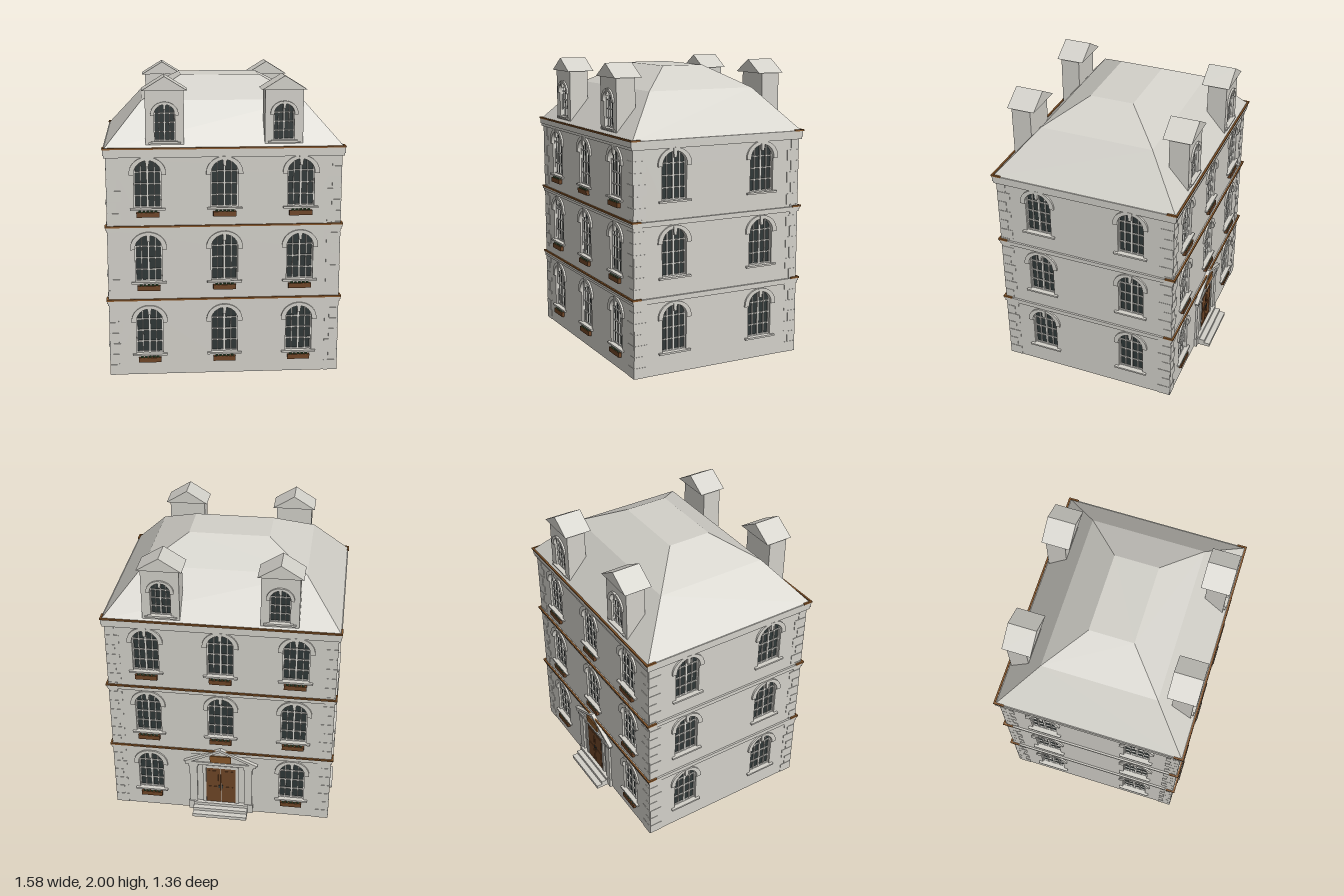
import * as THREE from 'three';
import { ConvexGeometry } from 'three/addons/geometries/ConvexGeometry.js';

const material = (name, color) => {
  const m = new THREE.MeshStandardMaterial({ color });
  m.name = name;
  return m;
};

export function createModel() {
  const stone = material('stone', 0xd2d0c9);
  const paint = material('window paint', 0xd9d8d2);
  const glass = material('dark glass', 0x2e3636);
  const wood = material('box wood', 0x6e4526);
  const gutter = material('gutter brown', 0x865629);
  const leaf = material('leaf green', 0x2f4a2a);

  const group = (name, parent, x = 0, y = 0, z = 0, turn = 0) => {
    const g = new THREE.Group();
    g.name = name;
    g.position.set(x, y, z);
    g.rotation.y = turn;
    parent.add(g);
    return g;
  };
  const add = (name, parent, geometry, mat, x = 0, y = 0, z = 0) => {
    const m = new THREE.Mesh(geometry, mat);
    m.name = name;
    m.position.set(x, y, z);
    parent.add(m);
    return m;
  };
  // box given by its lower and upper limits
  const box = (name, parent, mat, x0, x1, y0, y1, z0, z1) =>
    add(name, parent, new THREE.BoxGeometry(x1 - x0, y1 - y0, z1 - z0), mat,
      (x0 + x1) / 2, (y0 + y1) / 2, (z0 + z1) / 2);
  const extrude = (shape, depth) =>
    new THREE.ExtrudeGeometry(shape, { depth, bevelEnabled: false, curveSegments: 14 });
  const polygon = (points) => new THREE.Shape(points.map(([x, y]) => new THREE.Vector2(x, y)));

  // arched window opening
  const HALF = 0.088, SPRING = 0.23, RISE = 0.085, REVEAL = 0.03;
  const archPath = (Type, cx, y0, s) => {
    const p = new Type();
    p.moveTo(cx - HALF * s, y0);
    p.lineTo(cx + HALF * s, y0);
    p.lineTo(cx + HALF * s, y0 + SPRING * s);
    p.absellipse(cx, y0 + SPRING * s, HALF * s, RISE * s, 0, Math.PI, false);
    p.closePath();
    return p;
  };
  const wallPanel = (name, parent, halfWidth, y0, y1, openings, s = 1) => {
    const shape = polygon([[-halfWidth, y0], [halfWidth, y0], [halfWidth, y1], [-halfWidth, y1]]);
    for (const [x, y] of openings) shape.holes.push(archPath(THREE.Path, x, y, s));
    return add(name, parent, extrude(shape, REVEAL), stone, 0, 0, -REVEAL);
  };

  // window with glazing bars, arch moulding, keystone and sill
  const addWindow = (parent, x, y, s = 1) => {
    const w = group('window', parent, x, y, 0);
    w.scale.set(s, s, 1);
    add('glass', w, new THREE.ShapeGeometry(archPath(THREE.Shape, 0, 0, 1), 14), glass, 0, 0, -0.025);
    for (const bx of [-0.084, -0.045, 0, 0.045, 0.084]) {
      const top = SPRING + RISE * Math.sqrt(1 - (bx / HALF) ** 2);
      const t = bx === 0 ? 0.007 : 0.004;
      box('glazingBar', w, paint, bx - t, bx + t, 0, top, -0.024, -0.014);
    }
    for (const by of [0.005, 0.08, 0.158, 0.236]) {
      box('glazingBar', w, paint, -HALF, HALF, by - 0.004, by + 0.004, -0.024, -0.015);
    }
    const arch = new THREE.Shape();
    arch.moveTo(0.12, SPRING - 0.01);
    arch.lineTo(0.12, SPRING);
    arch.absellipse(0, SPRING, 0.12, 0.108, 0, Math.PI, false);
    arch.lineTo(-0.12, SPRING - 0.01);
    arch.lineTo(-HALF, SPRING - 0.01);
    arch.lineTo(-HALF, SPRING);
    arch.absellipse(0, SPRING, HALF, RISE, Math.PI, 0, true);
    arch.lineTo(HALF, SPRING - 0.01);
    arch.closePath();
    add('archMoulding', w, extrude(arch, 0.012), stone);
    add('keystone', w, extrude(polygon([[-0.009, 0.275], [0.009, 0.275], [0.015, 0.339], [-0.015, 0.339]]), 0.017), stone);
    box('sill', w, stone, -0.115, 0.115, -0.012, 0, -0.02, 0.018);
  };

  // planter with a row of small bushes
  const bush = new THREE.IcosahedronGeometry(0.011, 0);
  const addFlowerBox = (parent, x, y) => {
    const b = group('flowerBox', parent, x, y, 0);
    box('planter', b, wood, -0.075, 0.075, -0.058, -0.026, 0, 0.022);
    for (let i = -2; i <= 2; i++) add('bush', b, bush, leaf, i * 0.026, -0.023 + (i % 2) * 0.002, 0.011);
  };

  const house = new THREE.Group();
  house.name = 'townHouse';
  const FRONT = 0.655, BACK = -0.578, SIDE = 0.765, TOP = 1.52, MID = (FRONT + BACK) / 2;
  const floors = [0.148, 0.65, 1.148];
  box('core', house, stone, -SIDE + REVEAL, SIDE - REVEAL, 0, TOP, BACK + REVEAL, FRONT - REVEAL);

  // four facades
  const facades = [
    ['frontFacade', 0, FRONT, 0, SIDE, [-0.5, 0, 0.5]],
    ['backFacade', 0, BACK, Math.PI, SIDE, [-0.5, 0, 0.5]],
    ['rightFacade', SIDE, MID, Math.PI / 2, (FRONT - BACK) / 2 - REVEAL, [-0.326, 0.326]],
    ['leftFacade', -SIDE, MID, -Math.PI / 2, (FRONT - BACK) / 2 - REVEAL, [-0.326, 0.326]],
  ];
  let backFacade;
  for (const [name, x, z, turn, half, columns] of facades) {
    const f = group(name, house, x, 0, z, turn);
    const isBack = name === 'backFacade';
    if (isBack) backFacade = f;
    const openings = [];
    floors.forEach((y, i) => columns.forEach((cx) => {
      if (!(isBack && i === 0 && cx === 0)) openings.push([cx, y]);
    }));
    wallPanel('wall', f, half, 0, TOP, openings);
    for (const [cx, y] of openings) {
      addWindow(f, cx, y);
      if (columns.length === 3) addFlowerBox(f, cx, y);
    }
  }

  // corner quoins, alternately long and short
  for (const sx of [-1, 1]) for (const [z, sz] of [[FRONT, 1], [BACK, -1]]) {
    for (let i = 0; i < 20; i++) {
      const l = i % 2 ? 0.06 : 0.09, y = i * 0.0745;
      box('quoin', house, stone, sx * (SIDE - l / 2) - l / 2, sx * (SIDE - l / 2) + l / 2 + 0,
        y, y + 0.0715, z - 0.003, z + 0.003);
      const c = z - sz * l / 2;
      box('quoin', house, stone, sx * SIDE - 0.003, sx * SIDE + 0.003, y, y + 0.0715, c - l / 2, c + l / 2);
    }
  }

  // string courses and cornice, each with a brown gutter returning round the corners
  for (const [y0, y1, out] of [[0.488, 0.524, 0.013], [0.99, 1.024, 0.013], [1.482, 1.539, 0.02]]) {
    const x = SIDE + out;
    box('bandLower', house, stone, -x + 0.005, x - 0.005, y0, y1 - 0.012, BACK - out + 0.005, FRONT + out - 0.005);
    box('bandUpper', house, stone, -x, x, y0 + 0.018, y1, BACK - out, FRONT + out);
    const g = x + 0.004;
    for (const [z, s] of [[FRONT + out, 1], [BACK - out, -1]]) {
      box('gutter', house, gutter, -g, g, y1 - 0.003, y1 + 0.008, z - 0.008, z + 0.004);
      for (const sx of [-1, 1]) {
        const c = z - s * 0.03;
        box('gutterReturn', house, gutter, sx * (g - 0.006) - 0.0061, sx * (g - 0.006) + 0.0061,
          y1 - 0.003, y1 + 0.008, c - 0.032, c + 0.032);
      }
    }
  }

  // two-pitch hipped roof
  const roofPoints = [];
  for (const [y, x, z0, z1] of [[1.535, 0.782, -0.593, 0.668], [1.82, 0.535, -0.345, 0.425], [1.965, 0.268, -0.11, 0.187]]) {
    for (const sx of [-x, x]) for (const z of [z0, z1]) roofPoints.push(new THREE.Vector3(sx, y, z));
  }
  add('roof', house, new ConvexGeometry(roofPoints), stone);

  // dormers, two in front and two behind
  for (const [z, turn] of [[FRONT - 0.01, 0], [BACK, Math.PI]]) for (const x of [-0.385, 0.385]) {
    const d = group('dormer', house, x, 0, z, turn);
    wallPanel('dormerFront', d, 0.124, 1.555, 1.915, [[0, 1.585]], 0.75);
    box('dormerBody', d, stone, -0.124, 0.124, 1.555, 1.915, -0.133, -REVEAL);
    addWindow(d, 0, 1.585, 0.75);
    box('dormerSill', d, stone, -0.105, 0.105, 1.568, 1.578, -0.01, 0.012);
    add('dormerRoof', d, extrude(polygon([[-0.146, 1.91], [0.146, 1.91], [0, 2]]), 0.19), stone, 0, 0, -0.17);
  }

  // entrance with steps, double door, pilasters and pediment
  const e = group('entrance', backFacade);
  [[0.025, 0.107], [0.048, 0.067], [0.07, 0.03]].forEach(([h, d]) =>
    box('step', e, stone, -0.193, 0.193, 0, h, 0, d));
  for (const s of [-1, 1]) {
    box('doorLeaf', e, wood, s * 0.053 - 0.051, s * 0.053 + 0.051, 0.07, 0.375, 0, 0.006);
    for (const y of [0.15, 0.29]) {
      box('doorPanel', e, wood, s * 0.053 - 0.034, s * 0.053 + 0.034, y - 0.055, y + 0.06, 0.006, 0.009);
    }
    box('doorKnob', e, glass, s * 0.012 - 0.004, s * 0.012 + 0.004, 0.2, 0.225, 0.006, 0.012);
    box('doorJamb', e, stone, s * 0.117 - 0.012, s * 0.117 + 0.012, 0.07, 0.395, 0, 0.011);
    box('pilaster', e, stone, s * 0.195 - 0.027, s * 0.195 + 0.027, 0, 0.41, 0, 0.014);
    box('pilasterBase', e, stone, s * 0.195 - 0.034, s * 0.195 + 0.034, 0, 0.07, 0, 0.019);
    box('capital', e, stone, s * 0.195 - 0.034, s * 0.195 + 0.034, 0.385, 0.41, 0, 0.02);
  }
  box('doorHead', e, stone, -0.129, 0.129, 0.375, 0.397, 0, 0.012);
  box('entablature', e, stone, -0.25, 0.25, 0.41, 0.432, 0, 0.026);
  add('pediment', e, extrude(polygon([[-0.24, 0.43], [0.24, 0.43], [0, 0.535]]), 0.018), stone);
  for (const s of [-1, 1]) {
    const rake = polygon([[s * 0.26, 0.43], [0, 0.548], [0, 0.528], [s * 0.215, 0.43]]);
    add('rakingCornice', e, extrude(rake, 0.027), stone);
  }
  box('plaque', e, gutter, -0.075, 0.075, 0.436, 0.492, 0.018, 0.027);

  return house;
}
